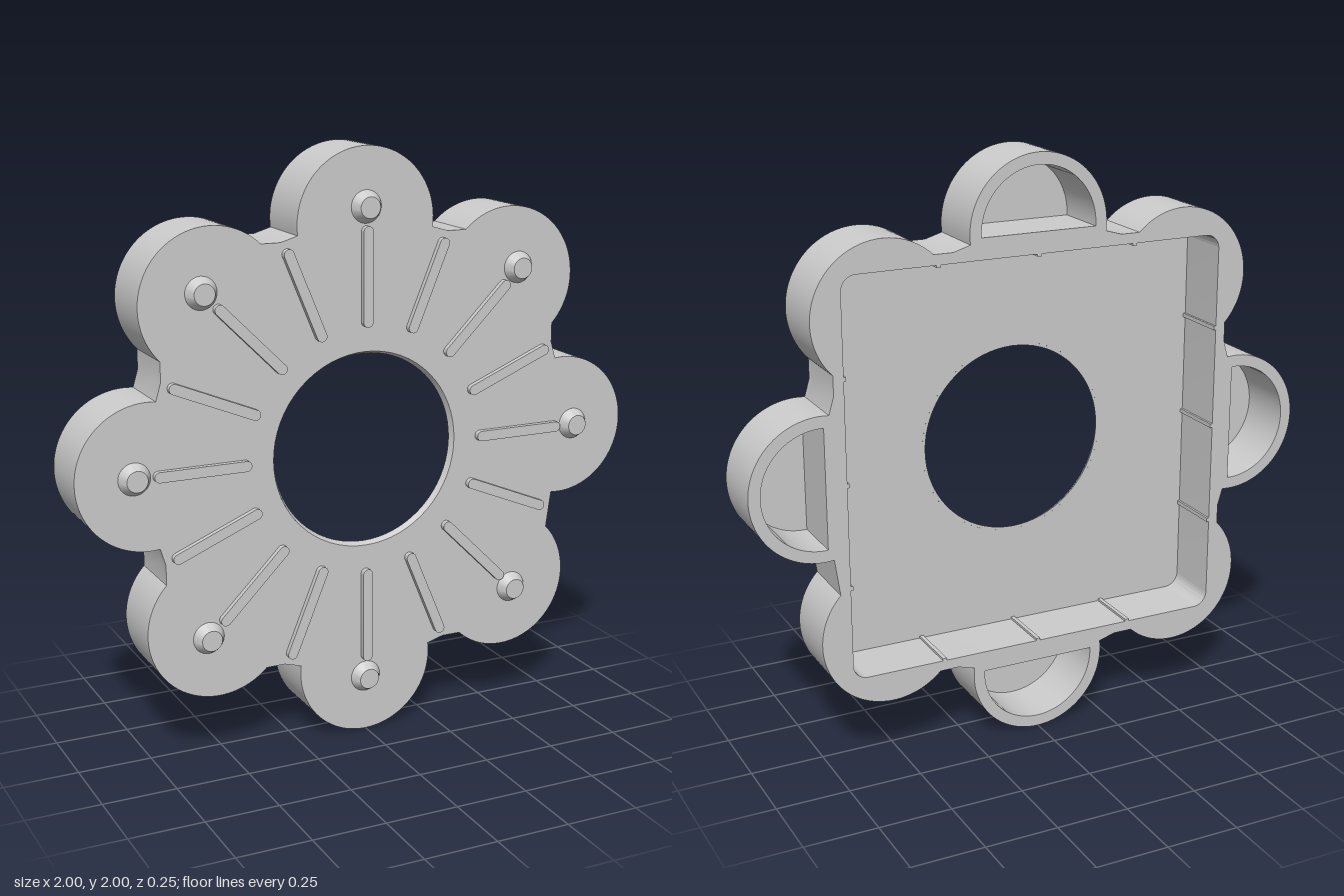
import * as THREE from 'three';
import { toCreasedNormals } from 'three/addons/utils/BufferGeometryUtils.js';

const BACK = -0.125, FLOOR = 0.073, FRONT = 0.094;
const LOBE_R = 0.243, LOBE_DIST = 0.757, POCKET = 0.675, HOLE_R = 0.333;
const rad = THREE.MathUtils.degToRad;

export function createModel() {
  const root = new THREE.Group();
  root.name = 'flowerCover';
  const body = new THREE.Group();
  body.name = 'body';
  body.position.y = 1;
  root.add(body);
  const material = new THREE.MeshStandardMaterial({ color: 0xcccccc, side: THREE.DoubleSide });

  const add = (name, geometry, parent = body) => {
    const mesh = new THREE.Mesh(geometry, material);
    mesh.name = name;
    parent.add(mesh);
    return mesh;
  };
  const extrude = (shape, z0, z1, curveSegments = 32) => {
    const g = new THREE.ExtrudeGeometry(shape, { depth: z1 - z0, bevelEnabled: false, curveSegments });
    g.translate(0, 0, z0);
    return toCreasedNormals(g, rad(25));
  };

  // Eight-lobed outline: round lobes joined by the edges of a square
  const outline = () => {
    const s = new THREE.Shape();
    for (let k = 0; k < 8; k++) {
      const a = k * Math.PI / 4, c = Math.cos(a), n = Math.sin(a);
      const axial = k % 2 === 0;
      const half = rad(axial ? 97 : 89);
      const corner = (u, v) => [u * c - v * n, u * n + v * c];
      if (axial) {
        if (k === 0) s.moveTo(...corner(0.71, -0.30));
        else s.lineTo(...corner(0.71, -0.30));
      }
      s.absarc(LOBE_DIST * c, LOBE_DIST * n, LOBE_R, a - half, a + half, false);
      if (axial) s.lineTo(...corner(0.71, 0.30));
    }
    s.closePath();
    return s;
  };

  // Walls, open at the back: a rounded square pocket and four D-shaped pockets
  const walls = outline();
  const square = new THREE.Path();
  const r = 0.05, q = POCKET - r;
  [[q, q], [-q, q], [-q, -q], [q, -q]].forEach(([x, y], i) =>
    square.absarc(x, y, r, i * Math.PI / 2, (i + 1) * Math.PI / 2, false));
  square.closePath();
  walls.holes.push(square);
  for (let k = 0; k < 4; k++) {
    const a = k * Math.PI / 2;
    const d = new THREE.Path();
    d.absarc(LOBE_DIST * Math.cos(a), LOBE_DIST * Math.sin(a), 0.203, a - rad(93), a + rad(93), false);
    d.closePath();
    walls.holes.push(d);
  }
  add('walls', extrude(walls, BACK, FLOOR));

  // Front plate with the round opening
  const plate = outline();
  const hole = new THREE.Path();
  hole.absarc(0, 0, HOLE_R, 0, Math.PI * 2, true);
  plate.holes.push(hole);
  add('frontPlate', extrude(plate, FLOOR, FRONT));

  // Slightly tapered lip inside the opening
  const lip = new THREE.LatheGeometry([
    new THREE.Vector2(HOLE_R, FLOOR),
    new THREE.Vector2(0.323, FLOOR),
    new THREE.Vector2(HOLE_R, FRONT),
  ], 72);
  lip.rotateX(Math.PI / 2);
  add('openingLip', toCreasedNormals(lip, rad(25)));

  // Raised rays with rounded ends
  const ray = new THREE.Shape();
  const w = 0.0175;
  ray.absarc(0.745 - w, 0, w, -Math.PI / 2, Math.PI / 2, false);
  ray.absarc(0.415 + w, 0, w, Math.PI / 2, Math.PI * 1.5, false);
  ray.closePath();
  const rayGeometry = extrude(ray, FRONT - 0.005, 0.113, 10);
  for (let k = 0; k < 16; k++) add('ray', rayGeometry).rotation.z = k * Math.PI / 8;

  // Tapered stud on every lobe
  const stud = new THREE.CylinderGeometry(0.035, 0.055, 0.035, 32);
  stud.rotateX(Math.PI / 2);
  const studGeometry = toCreasedNormals(stud, rad(25));
  for (let k = 0; k < 8; k++) {
    const a = k * Math.PI / 4;
    add('stud', studGeometry).position.set(0.806 * Math.cos(a), 0.806 * Math.sin(a), 0.1095);
  }

  // Three slim grip ribs on each inner wall of the square pocket
  const gripGeometry = new THREE.BoxGeometry(0.016, 0.014, FLOOR - BACK);
  for (let k = 0; k < 4; k++) {
    const side = new THREE.Group();
    side.name = 'gripRibs';
    side.rotation.z = k * Math.PI / 2;
    body.add(side);
    for (const y of [-0.35, 0, 0.35])
      add('gripRib', gripGeometry, side).position.set(POCKET, y, (FLOOR + BACK) / 2);
  }
  return root;
}
